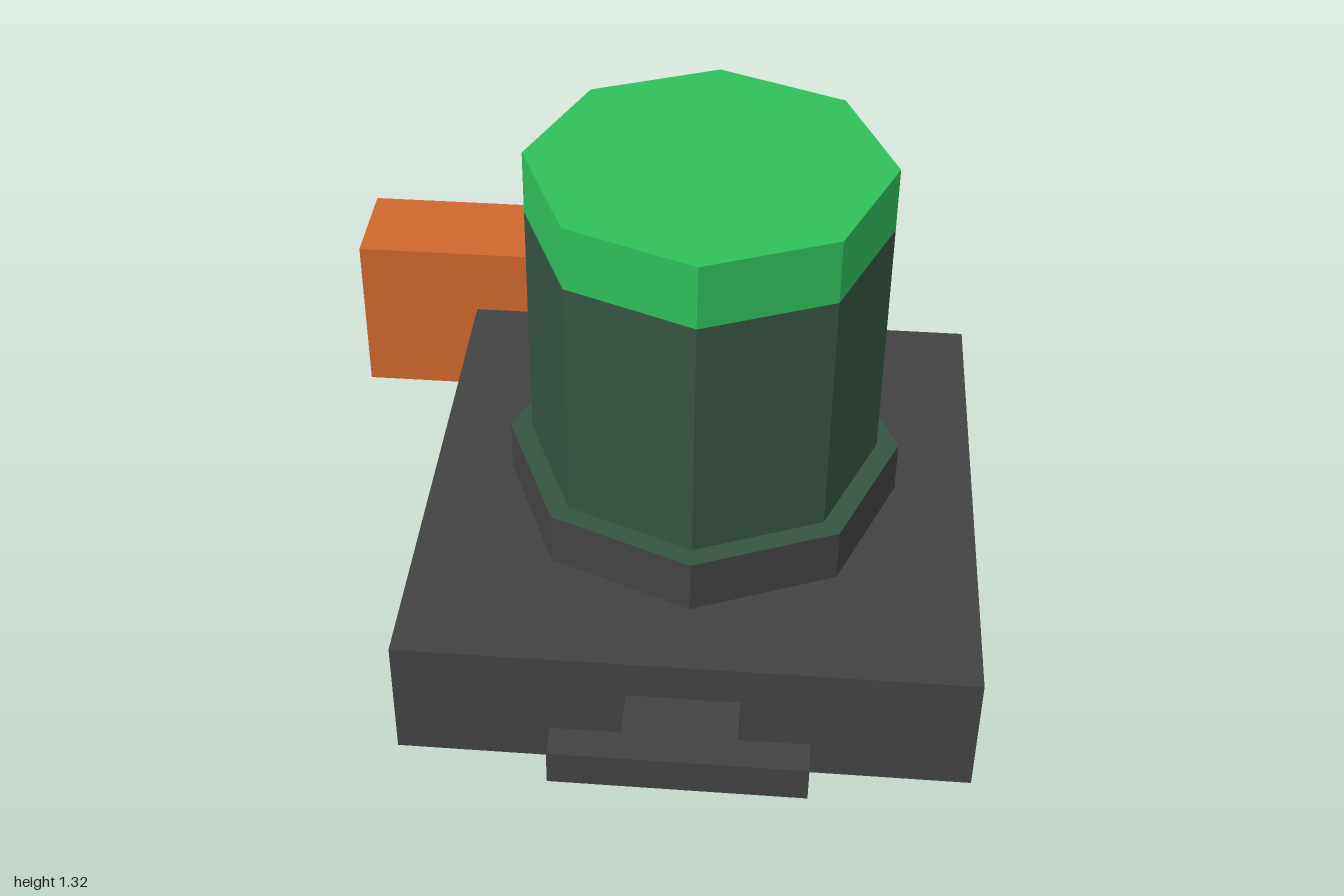
import * as THREE from 'three';

const flat = (name, color) => {
  const m = new THREE.MeshStandardMaterial({ color });
  m.name = name;
  return m;
};

export function createModel() {
  const charcoal = flat('charcoal', 0x434343);
  const darkGreen = flat('dark green', 0x365441);
  const green = flat('bright green', 0x2fbf5a);
  const orange = flat('orange', 0xcf672d);
  const grey = flat('grey', 0x727070);

  const model = new THREE.Group();
  const add = (name, geometry, material, x, y, z) => {
    const mesh = new THREE.Mesh(geometry, material);
    mesh.name = name;
    mesh.position.set(x, y, z);
    model.add(mesh);
  };
  // Box given by its lower and upper corners
  const box = (name, [x0, y0, z0], [x1, y1, z1], material) =>
    add(name, new THREE.BoxGeometry(x1 - x0, y1 - y0, z1 - z0), material,
      (x0 + x1) / 2, (y0 + y1) / 2, (z0 + z1) / 2);
  // Flat-sided octagonal prism on the column axis; materials are side, top, bottom
  const cx = 0.178, cz = 0.078;
  const prism = (name, radius, y0, y1, materials) => {
    const geometry = new THREE.CylinderGeometry(radius, radius, y1 - y0, 8).toNonIndexed();
    geometry.computeVertexNormals();
    add(name, geometry, materials, cx, (y0 + y1) / 2, cz);
  };

  // Square plinth with the octagonal column on top
  box('base', [-0.54, 0, -0.64], [0.895, 0.335, 0.795], charcoal);
  prism('collar', 0.512, 0.335, 0.48, [charcoal, darkGreen, charcoal]);
  prism('column', 0.455, 0.48, 1.15, [darkGreen, darkGreen, darkGreen]);
  prism('cap', 0.455, 1.15, 1.32, [green, green, green]);

  // T-shaped handle on the front
  box('handleStem', [0.038, 0.135, 0.795], [0.318, 0.23, 0.917], charcoal);
  box('handleBar', [-0.133, 0.135, 0.917], [0.489, 0.23, 1], charcoal);

  // Separate block behind: orange top and front, grey elsewhere
  box('rearBlock', [-0.9, 0, -1], [0.06, 0.48, -0.715],
    [grey, grey, orange, grey, orange, grey]);

  return model;
}
